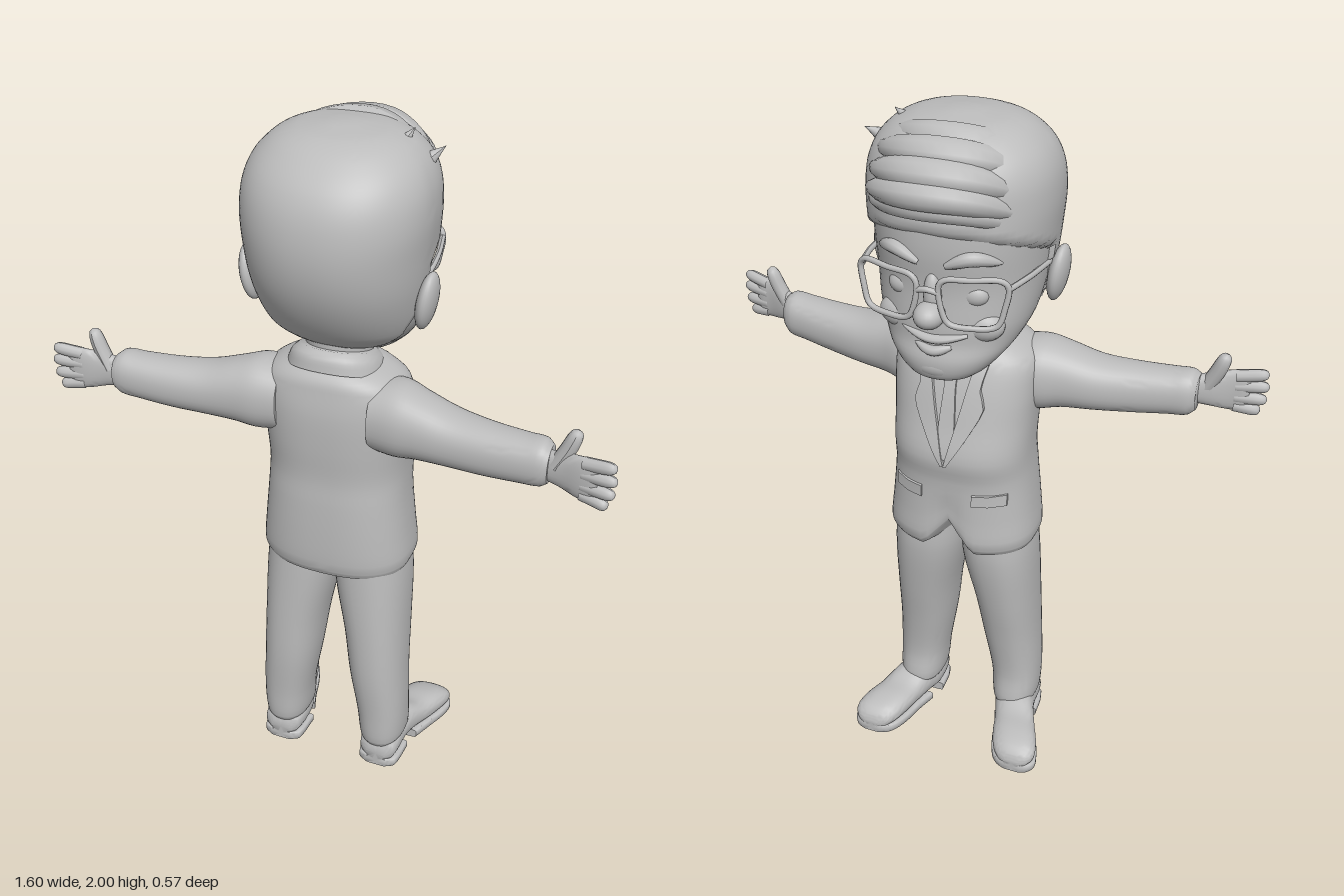
import * as THREE from 'three';
import { toCreasedNormals } from 'three/addons/utils/BufferGeometryUtils.js';

const grey = new THREE.MeshStandardMaterial({ color: 0xbcbcbc });
grey.name = 'clay grey';

// Smooth interpolation of table rows by their first column
function interp(rows, k) {
  let i = 0;
  while (i < rows.length - 2 && k > rows[i + 1][0]) i++;
  const a = rows[i], b = rows[i + 1], p = rows[i - 1] || a, n = rows[i + 2] || b;
  const h = b[0] - a[0], t = Math.min(1, Math.max(0, (k - a[0]) / h));
  return a.map((v, c) => {
    const m0 = ((b[c] - p[c]) / (b[0] - p[0])) * h, m1 = ((n[c] - v) / (n[0] - a[0])) * h;
    return v * (1 + 2 * t) * (1 - t) ** 2 + m0 * t * (1 - t) ** 2
      + b[c] * t * t * (3 - 2 * t) + m1 * t * t * (t - 1);
  });
}

// Closed skin over rings of points, with end caps; always wound outwards
function skin(rings, crease = 0.9) {
  const n = rings[0].length, pos = rings.flat(2), idx = [];
  for (let r = 0; r < rings.length - 1; r++)
    for (let s = 0; s < n; s++) {
      const a = r * n + s, b = r * n + (s + 1) % n;
      idx.push(a, b, a + n, b, b + n, a + n);
    }
  [0, rings.length - 1].forEach((r, end) => {
    const c = pos.length / 3, ring = rings[r];
    for (let q = 0; q < 3; q++) pos.push(ring.reduce((t, v) => t + v[q], 0) / n);
    for (let s = 0; s < n; s++) {
      const a = r * n + s, b = r * n + (s + 1) % n;
      idx.push(...(end ? [a, b, c] : [b, a, c]));
    }
  });
  const v = i => new THREE.Vector3().fromArray(pos, i * 3);
  let volume = 0;
  for (let i = 0; i < idx.length; i += 3) volume += v(idx[i]).dot(v(idx[i + 1]).cross(v(idx[i + 2])));
  if (volume < 0) idx.reverse();
  const g = new THREE.BufferGeometry();
  g.setAttribute('position', new THREE.Float32BufferAttribute(pos, 3));
  g.setIndex(idx);
  return toCreasedNormals(g, crease);
}

// Loft of superellipse rings; rows are [key, aMin, aMax, bMin, bMax]
function loft(rows, place, power = 2.3, seg = 40, steps = 4) {
  const rings = [];
  for (let i = 0; i < (rows.length - 1) * steps + 1; i++) {
    const j = Math.min(rows.length - 2, Math.floor(i / steps));
    const k = rows[j][0] + (rows[j + 1][0] - rows[j][0]) * (i / steps - j);
    const [, a0, a1, b0, b1] = interp(rows, k);
    rings.push(Array.from({ length: seg }, (_, s) => {
      const t = s / seg * Math.PI * 2, c = Math.cos(t), d = Math.sin(t);
      const a = Math.sign(c) * Math.abs(c) ** (2 / power), b = Math.sign(d) * Math.abs(d) ** (2 / power);
      return place(k, (a0 + a1) / 2 + a * (a1 - a0) / 2, (b0 + b1) / 2 + b * (b1 - b0) / 2);
    }));
  }
  return skin(rings);
}
const alongY = (y, x, z) => [x, y, z];

// Depth of the face side (-z) of an upright loft
function faceZ(rows, power, x, y) {
  const [, x0, x1, z0, z1] = interp(rows, y);
  const a = Math.min(1, Math.abs((x - (x0 + x1) / 2) / ((x1 - x0) / 2)));
  return (z0 + z1) / 2 - (z1 - z0) / 2 * (1 - a ** power) ** (1 / power);
}

// Tube whose radius follows a rule along its length
function strand(points, r, rule, flat = 1) {
  const path = new THREE.CatmullRomCurve3(points.map(p => new THREE.Vector3(...p)));
  const g = new THREE.TubeGeometry(path, 20, r, 10), p = g.attributes.position, v = new THREE.Vector3();
  for (let i = 0; i < p.count; i++) {
    const u = Math.floor(i / 11) / 20, c = path.getPointAt(u);
    v.fromBufferAttribute(p, i).sub(c).multiplyScalar(Math.max(0.01, rule(u)));
    v.y *= flat;
    p.setXYZ(i, c.x + v.x, c.y + v.y, c.z + v.z);
  }
  g.computeVertexNormals();
  return g;
}
const fingerRule = u => Math.sqrt(1 - u ** 8);
const lockRule = u => Math.sin(Math.PI * Math.min(0.995, 0.06 + u * 0.94)) ** 0.6;
const hornRule = u => 1 - u;

const sym = rows => rows.map(([y, w, z0, z1]) => [y, -w, w, z0, z1]);
const TORSO = sym([
  [0.735, 0.212, -0.125, 0.19], [0.76, 0.22, -0.138, 0.2], [0.85, 0.212, -0.135, 0.203],
  [0.97, 0.2, -0.135, 0.2], [1.05, 0.197, -0.148, 0.195], [1.15, 0.2, -0.125, 0.2],
  [1.25, 0.205, -0.1, 0.2], [1.32, 0.198, -0.075, 0.19], [1.355, 0.16, -0.055, 0.18], [1.385, 0.09, -0.035, 0.15]]);
const HEAD = sym([
  [1.335, 0.04, -0.185, -0.08], [1.35, 0.095, -0.212, -0.03], [1.4, 0.15, -0.225, 0.05],
  [1.45, 0.185, -0.215, 0.13], [1.5, 0.205, -0.215, 0.185], [1.6, 0.222, -0.21, 0.243],
  [1.7, 0.232, -0.22, 0.27], [1.8, 0.238, -0.215, 0.268], [1.88, 0.225, -0.2, 0.24],
  [1.94, 0.185, -0.16, 0.185], [1.975, 0.12, -0.1, 0.12], [1.988, 0.03, -0.02, 0.04]]);
const LEG = [
  [0.08, 0.1, 0.215, -0.02, 0.155], [0.1, 0.09, 0.225, -0.03, 0.165], [0.2, 0.08, 0.228, -0.02, 0.17],
  [0.35, 0.055, 0.222, -0.04, 0.18], [0.5, 0.035, 0.218, -0.07, 0.18], [0.68, 0, 0.213, -0.1, 0.175],
  [0.8, -0.005, 0.2, -0.1, 0.17]];
const ARM = [
  [0.13, 1.15, 1.345, 0, 0.19], [0.2, 1.145, 1.352, 0.005, 0.2], [0.26, 1.155, 1.337, 0.025, 0.2],
  [0.35, 1.16, 1.312, 0.045, 0.2], [0.45, 1.165, 1.305, 0.07, 0.205], [0.55, 1.175, 1.306, 0.09, 0.21],
  [0.6, 1.18, 1.308, 0.1, 0.21], [0.62, 1.195, 1.295, 0.115, 0.205]];
const PALM = [
  [0.58, 1.21, 1.285, 0.14, 0.19], [0.65, 1.2, 1.3, 0.16, 0.2], [0.7, 1.19, 1.312, 0.18, 0.213],
  [0.735, 1.19, 1.312, 0.188, 0.217], [0.75, 1.2, 1.3, 0.195, 0.215]];
const SHOE = [
  [-0.203, 0.21, 0.26, 0.02, 0.045], [-0.195, 0.188, 0.28, 0.018, 0.062], [-0.17, 0.165, 0.296, 0.018, 0.082],
  [-0.12, 0.145, 0.287, 0.018, 0.096], [-0.06, 0.13, 0.262, 0.018, 0.102], [0, 0.11, 0.237, 0.018, 0.125],
  [0.05, 0.095, 0.225, 0.018, 0.122], [0.14, 0.105, 0.215, 0.018, 0.1], [0.155, 0.13, 0.19, 0.025, 0.07]];

// Raised cloth strip lying on the jacket front; edges are [y, x1, x2]
function clothStrip(edges, lift) {
  const rings = [];
  for (let i = 0; i <= 12; i++) {
    const [y, x1, x2] = interp(edges, edges[0][0] + (edges.at(-1)[0] - edges[0][0]) * i / 12);
    const at = (x, o) => [x, y, faceZ(TORSO, 2.5, x, y) - o], mid = (x1 + x2) / 2;
    rings.push([at(x1, -0.01), at(x1, lift), at(mid, lift), at(x2, lift), at(x2, -0.01), at(mid, -0.01)]);
  }
  return skin(rings, 0.6);
}

export function createModel() {
  const model = new THREE.Group();
  const add = (name, geometry) => {
    const m = new THREE.Mesh(geometry, grey);
    m.name = name;
    model.add(m);
    return m;
  };

  // Jacket, with the front hem cut away at the centre
  add('jacket', loft(TORSO, (y, x, z) => {
    const cut = z < 0 ? Math.max(0, 1 - Math.abs(x) / 0.07) * Math.max(0, 1 - (y - 0.735) / 0.2) : 0;
    return [x, y + 0.09 * cut, z + 0.02 * cut];
  }, 2.5, 64));
  add('collar', loft([[1.34, -0.135, 0.135, -0.07, 0.175], [1.38, -0.12, 0.12, -0.055, 0.165],
    [1.4, -0.1, 0.1, -0.04, 0.145]], (y, x, z) => [x, y + (z - 0.05) * 0.3, z]));
  add('neck', loft([[1.3, -0.09, 0.09, -0.05, 0.13], [1.5, -0.09, 0.09, -0.05, 0.13]], alongY, 2));
  add('tie', clothStrip([[1.06, -0.004, 0.004], [1.12, -0.022, 0.022], [1.27, -0.016, 0.016],
    [1.3, -0.018, 0.018], [1.34, -0.025, 0.025]], 0.007));

  // Head, hair cap and features
  add('head', loft(HEAD, alongY, 2.2, 56));
  add('hair', loft(HEAD.slice(2), (y, x, z) => {
    const line = z > 0.1 ? 1.42 : z > 0 ? 1.66 - z * 2.4 : 1.66 - z * 0.4;
    const m = THREE.MathUtils.smoothstep(y, line - 0.02, line + 0.02);
    const k = 1 + (0.05 * m - 0.1 * (1 - m)) + 0.006 * m * Math.sin(x * 45 + z * 15) * (z < 0.05 ? 1 : 0);
    return [x * k, 1.7 + (y - 1.7) * (1 + 0.035 * m), 0.03 + (z - 0.03) * k];
  }, 2.2, 80, 6));
  const onFace = (x, y, o = 0) => [x, y, faceZ(HEAD, 2.2, x, y) - o];
  const ball = (name, at, size) => {
    const m = add(name, new THREE.SphereGeometry(1, 24, 16));
    m.position.set(...at);
    m.scale.set(...size);
    return m;
  };
  ball('nose', [0, 1.545, -0.235], [0.04, 0.035, 0.047]);
  ball('noseBridge', [0, 1.59, -0.21], [0.024, 0.06, 0.025]);
  ball('chin', [0, 1.385, -0.185], [0.075, 0.04, 0.04]);
  add('upperLip', strand([onFace(-0.09, 1.485), onFace(0, 1.47, 0.004), onFace(0.09, 1.485)], 0.017, lockRule, 0.7));
  add('lowerLip', strand([onFace(-0.05, 1.45), onFace(0, 1.437, 0.004), onFace(0.05, 1.45)], 0.014, lockRule));

  // Swept quiff locks across the forehead and tufts at the crown
  [[1.815, -0.222, 0.04], [1.85, -0.232, 0.047], [1.89, -0.205, 0.05], [1.925, -0.155, 0.05], [1.945, -0.095, 0.045]]
    .forEach(([y, z, r]) => add('quiffLock', strand(
      [[-0.18, y - 0.045, z + 0.1], [-0.09, y + 0.005, z + 0.015], [0.03, y + 0.015, z - 0.012],
        [0.12, y, z + 0.02], [0.2, y - 0.025, z + 0.09]], r, lockRule, 0.85)));
  [[[0.1, 1.9, 0.02], [0.14, 1.945, 0], [0.17, 1.988, -0.03]],
    [[0.16, 1.86, 0], [0.205, 1.91, -0.03], [0.24, 1.94, -0.06]],
    [[-0.13, 1.87, -0.02], [-0.18, 1.9, -0.06], [-0.2, 1.88, -0.1]]]
    .forEach(p => add('hairTuft', strand(p, 0.05, hornRule)));

  // Glasses follow a gentle wrap
  const wrap = x => -0.246 + x * x * 1.1;
  add('glassesBridge', strand([[-0.03, 1.615, wrap(0.03)], [0, 1.622, -0.25], [0.03, 1.615, wrap(0.03)]], 0.008, () => 1));

  for (const s of [1, -1]) {
    const side = s > 0 ? 'left' : 'right';
    const flip = pts => pts.map(([x, y, z]) => [x * s, y, z]);

    const rim = flip([[0.03, 1.635], [0.045, 1.652], [0.11, 1.657], [0.182, 1.657], [0.197, 1.64], [0.19, 1.585],
      [0.172, 1.535], [0.11, 1.527], [0.055, 1.535], [0.037, 1.57]].map(([x, y]) => [x, y, wrap(x)]));
    add(side + 'Rim', new THREE.TubeGeometry(
      new THREE.CatmullRomCurve3(rim.map(p => new THREE.Vector3(...p)), true), 60, 0.008, 8, true));
    add(side + 'Temple', strand(flip([[0.197, 1.635, -0.203], [0.218, 1.63, -0.1], [0.226, 1.615, 0.03]]), 0.008, () => 1));
    ball(side + 'Eye', [s * 0.095, 1.59, -0.168], [0.04, 0.032, 0.03]);
    add(side + 'Brow', strand(flip([onFace(0.035, 1.675), onFace(0.1, 1.7, 0.003), onFace(0.165, 1.68)]), 0.019, lockRule));
    ball(side + 'Cheek', [s * 0.11, 1.5, -0.15], [0.06, 0.045, 0.045]);
    ball(side + 'Ear', [s * 0.243, 1.575, 0.055], [0.026, 0.08, 0.053]).rotation.z = -s * 0.15;

    // Lapels and pocket flaps
    add(side + 'Lapel', clothStrip([[1.04, 0, 0.008 * s], [1.13, 0.02 * s, 0.06 * s], [1.22, 0.04 * s, 0.1 * s],
      [1.26, 0.048 * s, 0.085 * s], [1.34, 0.065 * s, 0.1 * s]], 0.011));
    add(side + 'PocketFlap', clothStrip([[0.91, 0.075 * s, 0.165 * s], [0.945, 0.075 * s, 0.165 * s]], 0.009));

    // Arms and hands, swung slightly differently on each side
    const alongX = (x, y, z) => [x * s, y, z + s * 0.03 * x * x];
    add(side + 'Sleeve', loft(ARM, alongX));
    add(side + 'Palm', loft(PALM, alongX, 2.3, 24));
    const finger = (name, pts, r) => add(name, strand(pts.map(p => alongX(...p)), r, fingerRule));
    [[1.295, 1.308, 0.795], [1.265, 1.27, 0.8], [1.232, 1.23, 0.797], [1.205, 1.193, 0.782]].forEach(([y0, y1, x]) =>
      finger(side + 'Finger', [[0.71, y0, 0.198], [0.755, (y0 + y1) / 2, 0.207], [x, y1, 0.215]], 0.0175));
    finger(side + 'Thumb', [[0.635, 1.255, 0.178], [0.665, 1.315, 0.175], [0.685, 1.368, 0.172]], 0.022);

    // Trousers and shoes
    add(side + 'TrouserLeg', loft(LEG, (y, x, z) => [x * s, y, z]));
    const alongZ = (z, x, y) => [x * s, y, z];
    const sole = SHOE.map(([z, a, b]) => [z, a - 0.003, b + 0.003, 0, 0.03]);
    add(side + 'Shoe', loft(SHOE, alongZ, 2.4));
    add(side + 'Sole', loft(sole.slice(0, 6), alongZ, 8));
    add(side + 'Heel', loft(sole.slice(6), alongZ, 8));
  }
  return model;
}
